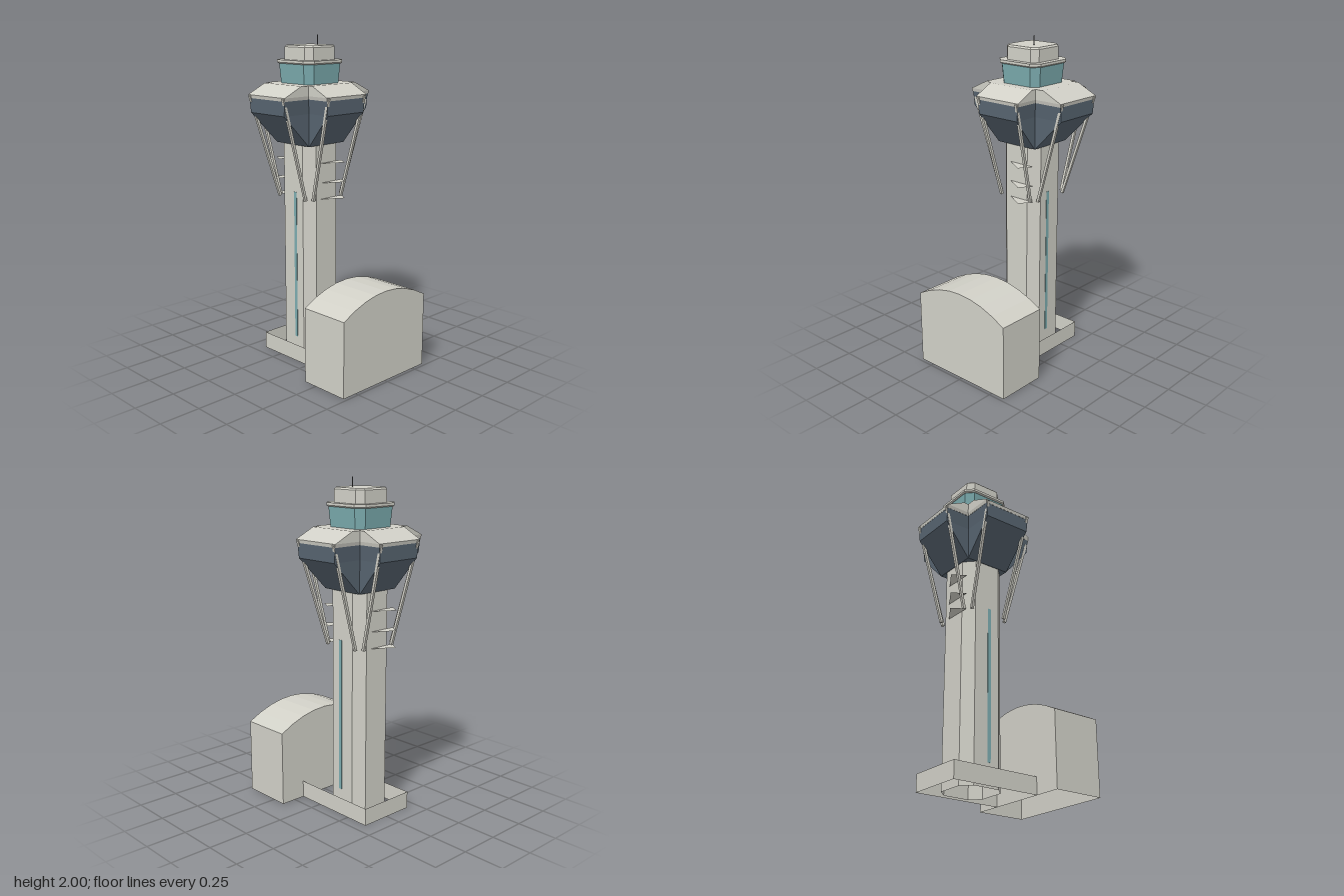
import * as THREE from 'three';

const concrete = new THREE.MeshStandardMaterial({ color: 0xd1d0c7, side: THREE.DoubleSide, flatShading: true });
concrete.name = 'concrete';
const slate = new THREE.MeshStandardMaterial({ color: 0x576470, side: THREE.DoubleSide, flatShading: true });
slate.name = 'slate cladding';
const glass = new THREE.MeshStandardMaterial({ color: 0x7cacaf, side: THREE.DoubleSide, flatShading: true });
glass.name = 'teal glass';
const metal = new THREE.MeshStandardMaterial({ color: 0x68696c });
metal.name = 'dark metal';

// Faceted skin through rings of [x, y, z], with optional end caps
function loft(rings, capTop = false, capBottom = false) {
  const pos = [];
  const tri = (a, b, c) => pos.push(...a, ...b, ...c);
  const n = rings[0].length;
  for (let k = 0; k < rings.length - 1; k++) {
    for (let i = 0; i < n; i++) {
      const j = (i + 1) % n;
      const [lo, hi] = [rings[k], rings[k + 1]];
      tri(lo[i], hi[i], lo[j]);
      tri(lo[j], hi[i], hi[j]);
    }
  }
  const top = rings[rings.length - 1], bottom = rings[0];
  for (let i = 0; i < n; i++) {
    const j = (i + 1) % n;
    if (capTop) tri([0, top[0][1], 0], top[j], top[i]);
    if (capBottom) tri([0, bottom[0][1], 0], bottom[i], bottom[j]);
  }
  const g = new THREE.BufferGeometry();
  g.setAttribute('position', new THREE.Float32BufferAttribute(pos, 3));
  g.computeVertexNormals();
  return g;
}

// Square with chamfered corners: half size h, chamfer c
function octagon(y, h, c) {
  const k = h - c;
  return [[h, -k], [h, k], [k, h], [-k, h], [-h, k], [-h, -k], [-k, -h], [k, -h]].map(([x, z]) => [x, y, z]);
}

// Cross plan: arm half width w, reach rx and rz
function cross(y, w, rx, rz) {
  return [[rx, -w], [rx, w], [w, w], [w, rz], [-w, rz], [-w, w], [-rx, w], [-rx, -w],
    [-w, -w], [-w, -rz], [w, -rz], [w, -w]].map(([x, z]) => [x, y, z]);
}

function add(parent, name, geometry, material, x = 0, y = 0, z = 0) {
  const m = new THREE.Mesh(geometry, material);
  m.name = name;
  m.position.set(x, y, z);
  parent.add(m);
  return m;
}

// Square bar from a lower point to an upper point
function bar(parent, name, lower, upper, size, material) {
  const p = new THREE.Vector3(...lower), q = new THREE.Vector3(...upper);
  const m = add(parent, name, new THREE.BoxGeometry(size, p.distanceTo(q), size), material);
  m.position.copy(p).add(q).multiplyScalar(0.5);
  m.quaternion.setFromUnitVectors(new THREE.Vector3(0, 1, 0), q.sub(p).normalize());
}

// Flat triangle in plan, corners as [x, z]
function plate(parent, name, y, corners, material) {
  const g = new THREE.BufferGeometry();
  g.setAttribute('position', new THREE.Float32BufferAttribute(corners.flatMap(([x, z]) => [x, y, z]), 3));
  g.computeVertexNormals();
  add(parent, name, g, material);
}

export function createModel() {
  const model = new THREE.Group();
  model.name = 'controlTower';
  const tower = new THREE.Group();
  tower.name = 'tower';

  // Shaft with a glazed strip front and back
  add(tower, 'shaft', loft([octagon(0, 0.14, 0.057), octagon(1.38, 0.14, 0.057)]), concrete);
  for (const s of [1, -1]) {
    add(tower, 'shaftWindowStrip', new THREE.BoxGeometry(0.022, 0.93, 0.004), glass, 0.017, 0.605, s * 0.14);
  }

  // Cross-shaped cabin: tapered cladding, then overhanging roof
  add(tower, 'cabinCladding', loft([
    cross(1.36, 0.142, 0.143, 0.143), cross(1.555, 0.147, 0.305, 0.338), cross(1.64, 0.156, 0.307, 0.34),
  ], false, true), slate);
  add(tower, 'cabinRoof', loft([
    cross(1.64, 0.157, 0.308, 0.341), cross(1.66, 0.162, 0.312, 0.345), cross(1.72, 0.162, 0.192, 0.218),
  ], true), concrete);
  plate(tower, 'roofCornerInfill', 1.72, [[0.162, 0.162], [0.162, 0.218], [0.192, 0.162]], concrete);

  // Lookout glazing, cornice and top housing
  add(tower, 'lookoutGlass', loft([octagon(1.72, 0.14, 0.04), octagon(1.84, 0.15, 0.043)]), glass);
  add(tower, 'cornice', loft([
    octagon(1.835, 0.152, 0.043), octagon(1.842, 0.159, 0.046), octagon(1.857, 0.159, 0.046),
  ], true, true), concrete);
  add(tower, 'topHousing', loft([
    octagon(1.857, 0.123, 0.036), octagon(1.932, 0.123, 0.036), octagon(1.942, 0.114, 0.032),
  ], true), concrete);
  add(tower, 'antenna', new THREE.CylinderGeometry(0.0025, 0.0025, 0.06, 6), metal, 0.03, 1.97, -0.035);

  // Straight struts, a pair on each arm, their heads showing at the roof edge
  for (let k = 0; k < 4; k++) {
    const arm = new THREE.Group();
    arm.name = 'strutPair';
    arm.rotation.y = k * Math.PI / 2;
    const r = k % 2 ? 0.31 : 0.343;
    for (const s of [1, -1]) {
      bar(arm, 'strut', [s * 0.115, 1.032, 0.148], [s * 0.147, 1.655, r], 0.016, concrete);
    }
    tower.add(arm);
  }

  // Thin triangular ledges on both sides of the shaft
  for (const s of [1, -1]) {
    for (const y of [1.03, 1.13, 1.25]) {
      plate(tower, 'ledge', y, [[s * 0.14, s * 0.05], [s * 0.22, s * -0.08], [s * 0.14, s * -0.13]], concrete);
    }
  }
  tower.position.x = -0.16;
  model.add(tower);

  // Low yard wall, open towards the hall
  const wall = (name, w, x, z, ry) => {
    add(model, name, new THREE.PlaneGeometry(w, 0.105), concrete, x, 0.0525, z).rotation.y = ry;
  };
  wall('frontYardWall', 0.56, -0.12, 0.18, 0);
  wall('backYardWall', 0.56, -0.12, -0.18, Math.PI);
  wall('rightYardWall', 0.36, -0.4, 0, -Math.PI / 2);

  // Hall with a faceted vaulted roof and open underside
  const profile = [[-0.346, 0]];
  for (let i = 0; i <= 8; i++) {
    const t = i / 4 - 1;
    profile.push([t * 0.346, 0.56 - 0.1 * t * t]);
  }
  profile.push([0.346, 0]);
  const hall = new THREE.Group();
  hall.name = 'hall';
  const skin = [];
  for (let i = 0; i < profile.length - 1; i++) {
    const [[z0, y0], [z1, y1]] = [profile[i], profile[i + 1]];
    const a = [0.16, y0, z0], b = [0.16, y1, z1], c = [0.479, y1, z1], d = [0.479, y0, z0];
    skin.push(...a, ...b, ...c, ...a, ...c, ...d);
  }
  const skinGeometry = new THREE.BufferGeometry();
  skinGeometry.setAttribute('position', new THREE.Float32BufferAttribute(skin, 3));
  skinGeometry.computeVertexNormals();
  add(hall, 'hallWallsAndRoof', skinGeometry, concrete).position.z = 0.002;
  const end = new THREE.Shape(profile.map(([z, y]) => new THREE.Vector2(z, y)));
  add(hall, 'hallLeftEnd', new THREE.ShapeGeometry(end), concrete, 0.479, 0, 0.002).rotation.y = Math.PI / 2;
  add(hall, 'hallRightEnd', new THREE.ShapeGeometry(end), concrete, 0.16, 0, 0.002).rotation.y = -Math.PI / 2;
  model.add(hall);

  return model;
}
